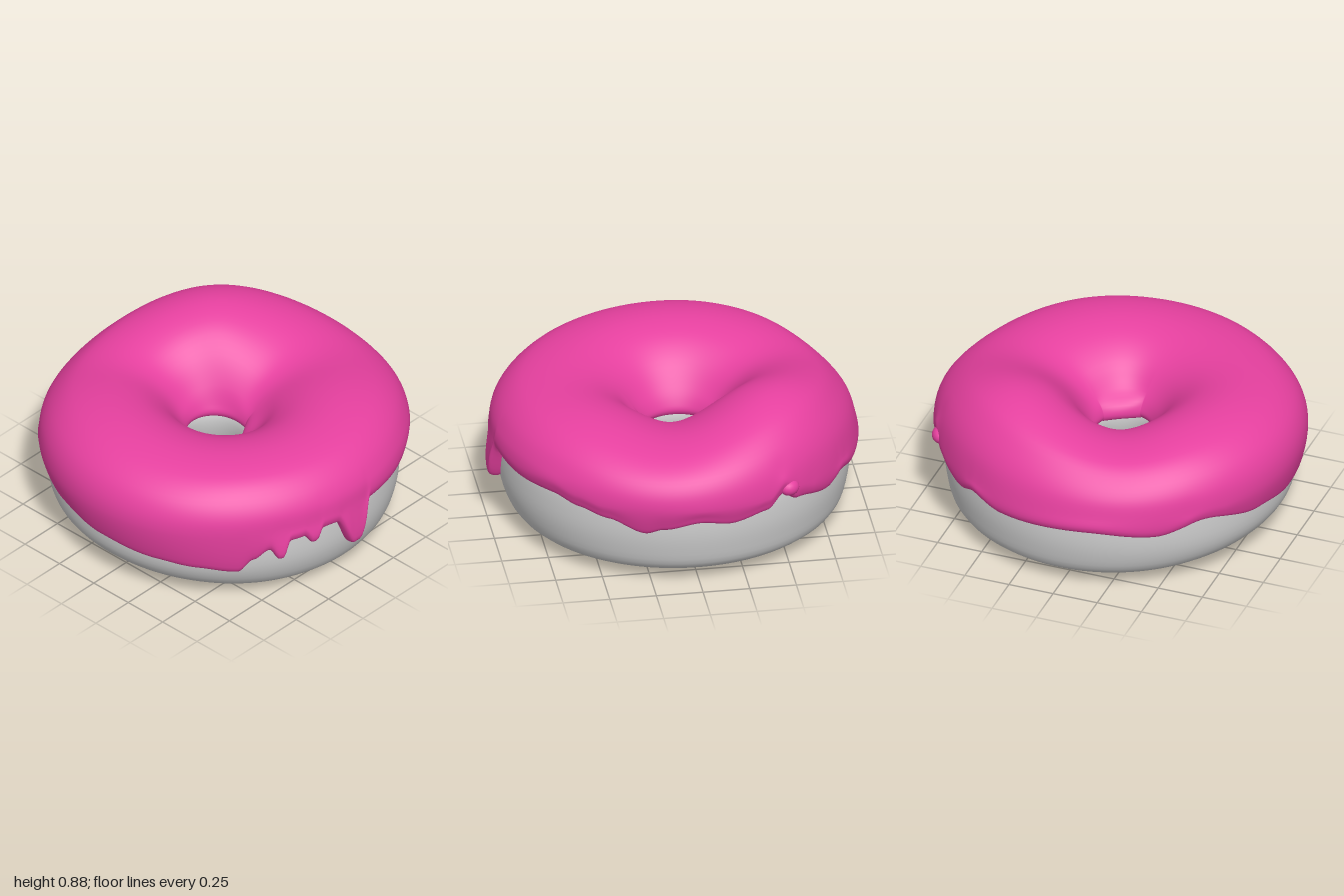
import * as THREE from 'three';

const SEG = 480, DEG = Math.PI / 180;
const smooth = THREE.MathUtils.smoothstep;
const bump = (a, centre, width) => {
  const d = ((a - centre + 540) % 360) - 180;
  return Math.exp(-((d / width) ** 2));
};

// Height of the icing's lower edge around the ring: [degrees from +x towards +z, y]
const EDGE = [
  [0, .40], [12, .36], [18, .33], [30, .40], [40, .43], [50, .46], [66, .45], [84, .46],
  [95, .42], [102, .43], [114, .41], [122, .37], [127, .31], [132, .225], [145, .25],
  [159, .27], [180, .30], [199, .34], [222, .42], [238, .36], [259, .39], [291, .37],
  [303, .41], [311, .37], [326, .42], [332, .48], [338, .41], [350, .375], [360, .40],
];
// Rounded drips: [angle, half width, lowest y]
const DRIPS = [[91, 5.6, .25], [107, 2.7, .365], [118.5, 2.7, .31]];

function edgeBase(a) {
  let i = 0;
  while (i < EDGE.length - 2 && EDGE[i + 1][0] <= a) i++;
  const [a0, y0] = EDGE[i], [a1, y1] = EDGE[i + 1];
  return y0 + (y1 - y0) * smooth(a, a0, a1);
}
function dripAt(a, base) {
  let drop = 0;
  for (const [c, w, low] of DRIPS)
    drop += Math.max(0, base - low) * (1 - smooth(Math.abs(a - c) / w, .2, 1.25));
  return drop;
}

// Shift points near the off-centre hole, fading out towards the rim
function holeRadius(a) {
  const t = a * DEG;
  return .17 - .015 * Math.cos(2 * t) - .02 * (Math.cos(t) + Math.sin(t));
}
const holeShift = (r, a) => r + (holeRadius(a) - .17) * (1 - smooth(r, .17, .6));

// Ring surface whose cross-section (r, y) varies with the angle
function sweepRing(profile, steps, closed) {
  const pos = [], idx = [], n = steps + 1;
  for (let j = 0; j < SEG; j++) {
    const a = j * 360 / SEG, c = Math.cos(a * DEG), s = Math.sin(a * DEG);
    const pts = profile(a).map(([r, y]) => new THREE.Vector3(r, y, 0));
    const curve = new THREE.CatmullRomCurve3(pts, closed, 'centripetal');
    for (let i = 0; i < n; i++) {
      const p = curve.getPoint(closed ? i / n : i / steps);
      pos.push(p.x * c, p.y, p.x * s);
    }
  }
  for (let j = 0; j < SEG; j++) {
    const k = (j + 1) % SEG;
    for (let i = 0; i < (closed ? n : steps); i++) {
      const m = (i + 1) % n;
      const A = j * n + i, B = j * n + m, C = k * n + m, D = k * n + i;
      idx.push(A, B, D, B, C, D);
    }
  }
  const g = new THREE.BufferGeometry();
  g.setAttribute('position', new THREE.Float32BufferAttribute(pos, 3));
  g.setIndex(idx);
  g.computeVertexNormals();
  return g;
}

function doughProfile(a) {
  const side = Math.cos((a + 30) * DEG);      // raised, squarer base on the right and back
  const lift = .018 + .018 * side, out = .02 * side;
  const soft = bump(a, 185, 55);              // gently rounded base on the left
  return [
    [.175, .44], [.19, .27], [.26, .13], [.40, .045 + lift], [.58, .002 + lift + .015 * soft],
    [.76 + out - .03 * soft, .015 + lift + .035 * soft],
    [.875 + out * .7, .09 + lift * .5 + .04 * soft], [.922, .22], [.933, .36],
    [.91, .5], [.8, .62], [.55, .65], [.3, .56],
  ].map(([r, y]) => [holeShift(r, a), y]);
}

function icingProfile(a) {
  const base = edgeBase(a), drop = dripAt(a, base), e = base - drop;
  const inset = Math.max(0, .4 - base) * .2;
  const bulge = Math.min(1, drop / .12) * .018;
  // uneven crest: one hump at the back right with a dip on either side of it
  const top = .785 + .1 * bump(a, 312, 34) + .025 * bump(a, 195, 35) + .01 * bump(a, 60, 25)
    - .045 * bump(a, 12, 25) - .035 * bump(a, 250, 22);
  const Y = t => .45 + (top - .45) * t;
  const slope = bump(a, 285, 50);             // shoulder leans in at the back
  const rim = 1 + .008 * Math.cos(2 * a * DEG) - .012 * bump(a, 130, 22) - .008 * bump(a, 240, 25);
  // flat web of icing across one side of the hole
  const hole = holeRadius(a) - .008;
  const facing = Math.cos((a - 58.5) * DEG);
  const lip = facing > .2 ? Math.min(hole, .104 / facing) : hole;
  return [
    [.90, e + .035], [.94 - inset, e], [.967 - inset + bulge, e + .01],
    [.981 - inset * .8 + bulge, e + .045],
    [(.988 - .012 * slope) * rim, Math.max(.49, e + .085)],
    [(.974 - .03 * slope) * rim, Y(.42)], [(.92 - .04 * slope) * rim, Y(.68)],
    [.81 - .03 * slope, Y(.9)], [.62, Y(1)],
    [holeShift(.45, a), Y(.91)], [holeShift(.32, a), Y(.68)], [holeShift(.22, a), Y(.35)],
    [lip + .015, .505], [lip, .46], [lip + .015, .43], [hole + .04, .42],
  ];
}

export function createModel() {
  const group = new THREE.Group();
  const dough = new THREE.MeshStandardMaterial({ color: 0xcccccc });
  const pink = new THREE.MeshStandardMaterial({ color: 0xe6409f, side: THREE.DoubleSide });
  const add = (name, geometry, material) => {
    const mesh = new THREE.Mesh(geometry, material);
    mesh.name = name;
    group.add(mesh);
    return mesh;
  };

  add('doughRing', sweepRing(doughProfile, 47, true), dough);
  add('icing', sweepRing(icingProfile, 64, false), pink);

  // Small curl of icing above the notch on the right side
  const curl = add('icingCurl', new THREE.SphereGeometry(.055, 20, 14), pink);
  curl.scale.set(.8, .8, 1);
  curl.position.set(.835, .51, -.49);
  curl.rotation.y = 30 * DEG;

  return group;
}
